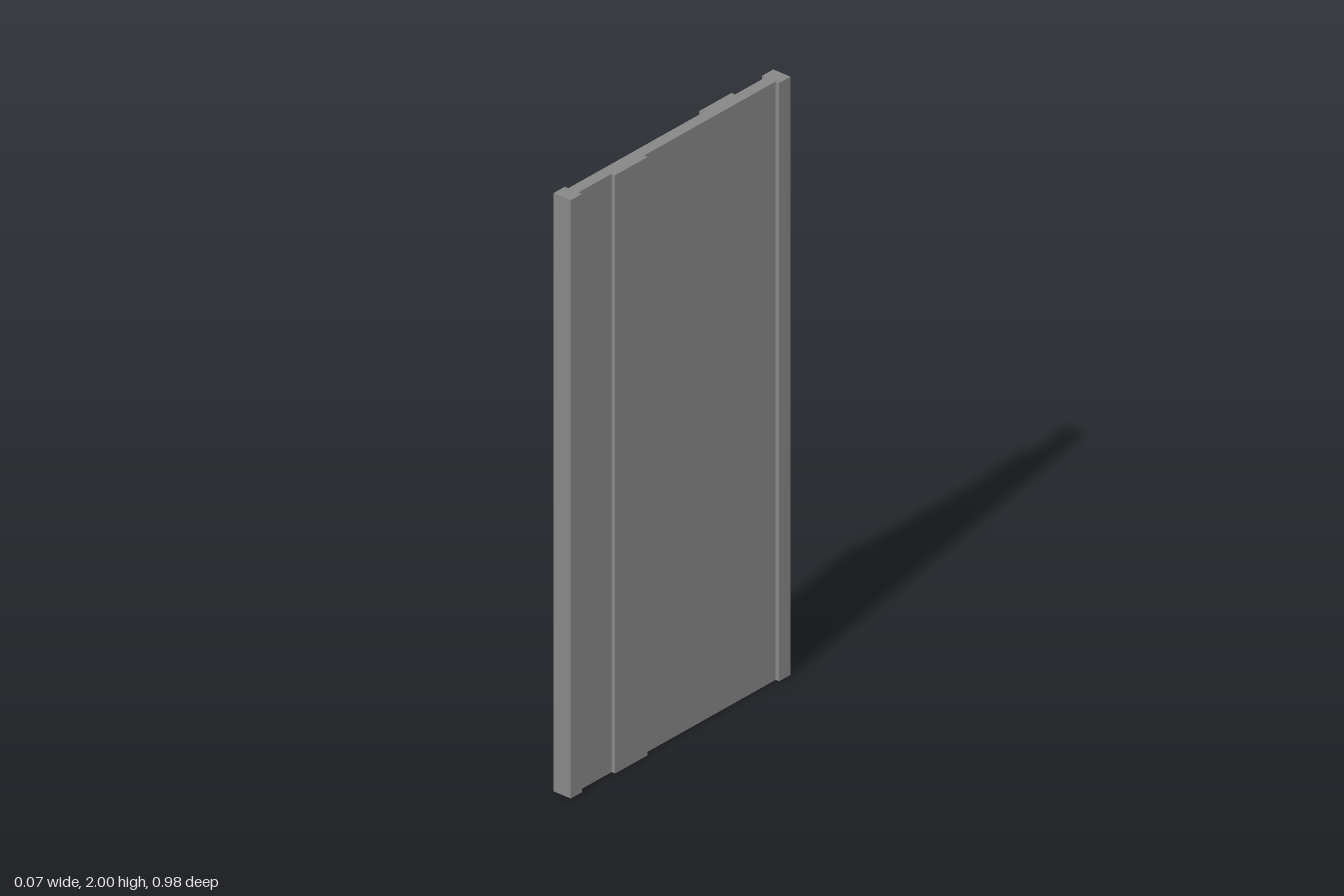
import * as THREE from 'three';

const HEIGHT = 2;
const CORE = 0.0195;  // half thickness of the panel
const RAISED = 0.033; // half thickness at the end stiles and raised strips
const END = 0.489;    // half depth of the panel
const STILE = 0.439;  // inner edge of the end stiles

// One long side of the plan, from -z to +z, with a raised strip between z0 and z1
function sidePoints(sign, z0, z1) {
  return [
    [RAISED, -END], [RAISED, -STILE], [CORE, -STILE],
    [CORE, z0], [RAISED, z0], [RAISED, z1], [CORE, z1],
    [CORE, STILE], [RAISED, STILE], [RAISED, END],
  ].map(([x, z]) => new THREE.Vector2(sign * x, -z));
}

export function createModel() {
  const group = new THREE.Group();
  group.name = 'panel';

  // Plan outline: strip near the front on the left face, near the back on the right face
  const leftSide = sidePoints(1, 0.146, 0.291);
  const rightSide = sidePoints(-1, -0.303, -0.159).reverse();
  const outline = new THREE.Shape([...leftSide, ...rightSide]);

  // Outline drawn up to full height
  const geometry = new THREE.ExtrudeGeometry(outline, { depth: HEIGHT, bevelEnabled: false });
  geometry.rotateX(-Math.PI / 2);

  const board = new THREE.Mesh(
    geometry,
    new THREE.MeshStandardMaterial({ color: 0x878787, flatShading: true }),
  );
  board.name = 'profiledBoard';
  group.add(board);
  return group;
}
